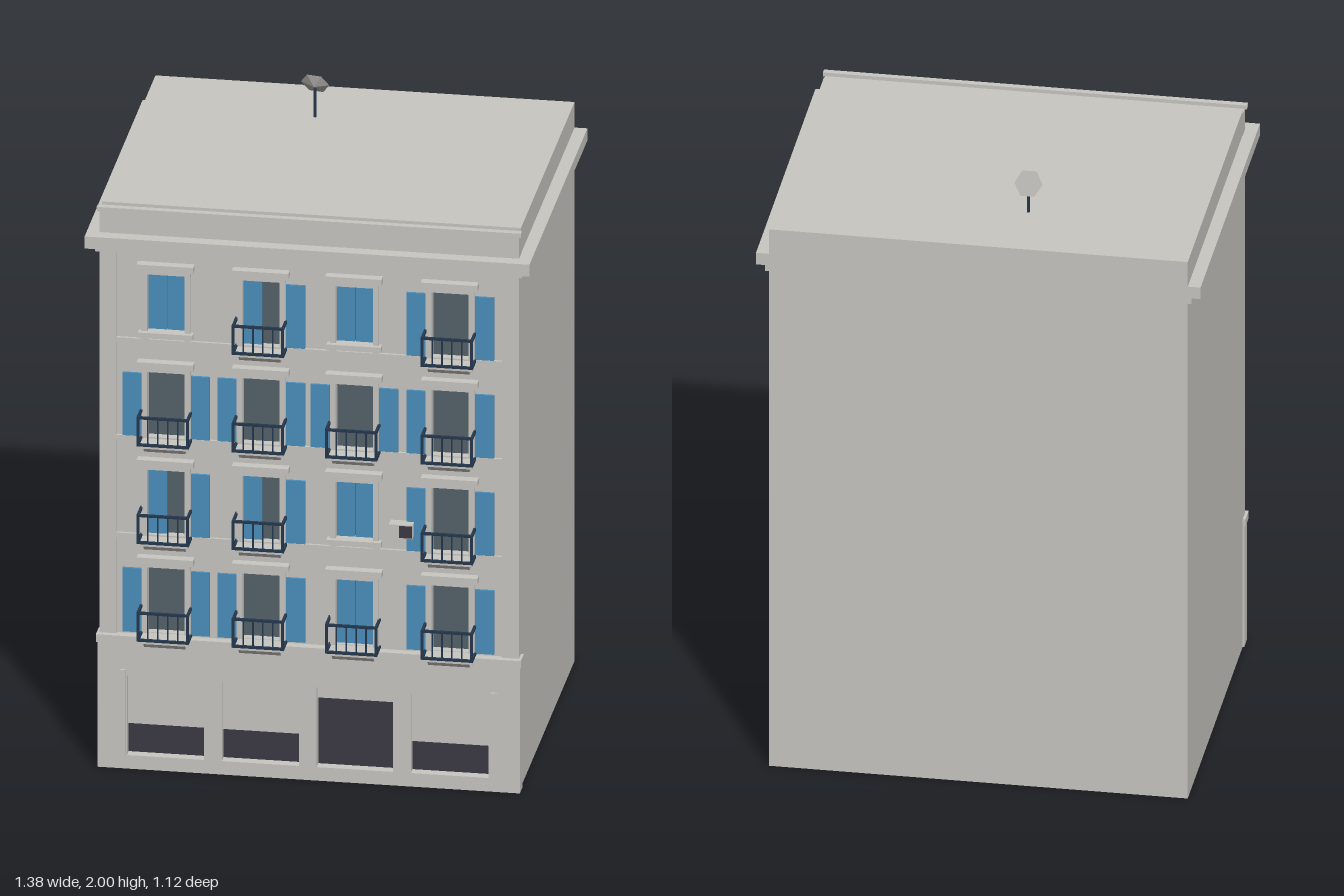
import * as THREE from 'three';

const mat = (name, color) => {
  const m = new THREE.MeshStandardMaterial({ color });
  m.name = name;
  return m;
};

export function createModel() {
  const stone = mat('stone', 0xc9c7c2);
  const blue = mat('shutterBlue', 0x4b8fbd);
  const iron = mat('ironNavy', 0x24384e);
  const glass = mat('glass', 0x55626a);
  const dark = mat('shopDark', 0x3b3943);
  const dishMat = mat('dishGrey', 0xb5b3af);
  dishMat.side = THREE.DoubleSide;

  const model = new THREE.Group();
  model.name = 'townBuilding';

  // box given by its extents
  const box = (parent, name, m, x0, x1, y0, y1, z0, z1) => {
    const mesh = new THREE.Mesh(new THREE.BoxGeometry(x1 - x0, y1 - y0, z1 - z0), m);
    mesh.position.set((x0 + x1) / 2, (y0 + y1) / 2, (z0 + z1) / 2);
    mesh.name = name;
    parent.add(mesh);
    return mesh;
  };
  // flat wall with rectangular openings [x0, x1, y0, y1]
  const wall = (name, x0, x1, y0, y1, z0, z1, holes) => {
    const rect = (T, a, b, c, d) => new T([[a, c], [b, c], [b, d], [a, d]].map(p => new THREE.Vector2(...p)));
    const shape = rect(THREE.Shape, x0, x1, y0, y1);
    shape.holes = holes.map(h => rect(THREE.Path, ...h));
    const mesh = new THREE.Mesh(new THREE.ExtrudeGeometry(shape, { depth: z1 - z0, bevelEnabled: false }), stone);
    mesh.position.z = z0;
    mesh.name = name;
    model.add(mesh);
  };

  const BACK = -0.56, FACE = 0.485;
  const columns = [-0.446, -0.15, 0.14, 0.438];
  const floors = [0.45, 0.775, 1.1, 1.425];
  const GW = 0.058, GH = 0.22; // half width and height of a window

  // Main volume and corner strips
  box(model, 'core', stone, -0.652, 0.652, 0, 1.86, BACK, 0.455);
  for (const s of [-1, 1]) {
    box(model, 'cornerStrip', stone, Math.min(s * 0.6, s * 0.652), Math.max(s * 0.6, s * 0.652), 0.42, 1.735, 0.455, 0.495);
  }
  const windowHoles = floors.flatMap(y => columns.map(x => [x - GW, x + GW, y, y + GH]));
  wall('upperWall', -0.6, 0.6, 0.42, 1.735, 0.455, FACE, windowHoles);

  // Cornice and parapet
  box(model, 'corniceBed', stone, -0.664, 0.664, 1.715, 1.735, BACK, 0.507);
  box(model, 'cornice', stone, -0.692, 0.692, 1.735, 1.775, BACK, 0.538);
  box(model, 'parapet', stone, -0.653, 0.653, 1.775, 1.85, 0.45, 0.496);
  box(model, 'parapetCap', stone, -0.66, 0.66, 1.848, 1.862, 0.485, 0.505);

  // Ground floor with four shop openings [x0, x1, bottom of roller shutter]
  const shops = [[-0.565, -0.325, 0.145], [-0.27, -0.03, 0.145], [0.025, 0.262, 0.27], [0.318, 0.56, 0.145]];
  wall('groundWall', -0.657, 0.657, 0, 0.42, 0.455, 0.507, shops.map(s => [s[0], s[1], 0.045, 0.31]));
  for (const [x0, x1, y] of shops) {
    box(model, 'shopFront', dark, x0, x1, 0.045, 0.31, 0.455, 0.475);
    box(model, 'rollerShutter', stone, x0, x1, y, 0.31, 0.475, 0.49);
  }
  for (const s of [-1, 1]) {
    box(model, 'shopPilaster', stone, s * 0.578 - 0.01, s * 0.578 + 0.01, 0.045, 0.33, 0.5, 0.513);
  }
  box(model, 'groundCornice', stone, -0.661, 0.661, 0.418, 0.443, 0.455, 0.513);

  // String courses under the upper floors
  for (const y of floors.slice(1)) box(model, 'stringCourse', stone, -0.6, 0.6, y - 0.012, y + 0.003, 0.48, 0.494);

  // Stone surround with lintel
  const surround = (g) => {
    for (const s of [-1, 1]) box(g, 'jamb', stone, s * 0.067 - 0.009, s * 0.067 + 0.009, 0, 0.235, 0.48, 0.496);
    box(g, 'head', stone, -0.076, 0.076, GH, 0.238, 0.48, 0.498);
    box(g, 'lintel', stone, -0.088, 0.088, 0.238, 0.258, 0.48, 0.515);
  };

  // Balcony: slab, sloping corbel and iron railing
  const corbelShape = new THREE.Shape([[0, 0], [0.03, 0], [0.05, 0.024], [0, 0.024]].map(p => new THREE.Vector2(...p)));
  const corbelGeo = new THREE.ExtrudeGeometry(corbelShape, { depth: 0.13, bevelEnabled: false });
  const balcony = (g) => {
    box(g, 'balconySlab', stone, -0.078, 0.078, -0.014, -0.002, 0.48, 0.55);
    const corbel = new THREE.Mesh(corbelGeo, stone);
    corbel.rotation.y = -Math.PI / 2;
    corbel.position.set(0.065, -0.038, 0.485);
    corbel.name = 'corbel';
    g.add(corbel);
    const W = 0.081, Z = 0.558, t = 0.004;
    for (const y of [0, 0.09]) {
      box(g, 'frontRail', iron, -W, W, y - t, y + t, Z - 2 * t, Z);
      for (const s of [-1, 1]) box(g, 'sideRail', iron, s * (W - t) - t, s * (W - t) + t, y - t, y + t, 0.485, Z);
    }
    for (let i = 0; i < 6; i++) {
      const r = i % 5 ? 0.0022 : t;
      const x = -(W - t) + (i / 5) * 2 * (W - t);
      box(g, 'baluster', iron, x - r, x + r, 0, 0.09, Z - t - r, Z - t + r);
    }
  };

  // o = both leaves open, h = right leaf open, c = closed; capital adds a balcony
  const states = ['OOCO', 'HHcO', 'OOOO', 'cHcO'];
  floors.forEach((y, r) => columns.forEach((x, c) => {
    const g = new THREE.Group();
    g.name = 'window';
    g.position.set(x, y, 0);
    model.add(g);
    const code = states[r][c], state = code.toLowerCase();
    surround(g);
    box(g, 'pane', glass, -GW, GW, 0, GH, 0.455, 0.46);
    for (const s of [-1, 1]) {
      const open = state === 'o' || (state === 'h' && s > 0);
      const [a, b, z] = open ? [0.077, 0.136, 0.484] : [0.001, GW, 0.463];
      const x0 = Math.min(s * a, s * b), x1 = Math.max(s * a, s * b);
      box(g, 'shutter', blue, x0, x1, 0, open ? 0.212 : 0.215, z, z + 0.009);
    }
    if (code !== state) balcony(g);
    else box(g, 'sill', stone, -0.085, 0.085, 0.012, 0.03, 0.455, 0.51);
  }));

  // Air conditioner on the facade
  box(model, 'airConditioner', stone, 0.252, 0.326, 0.83, 0.875, 0.48, 0.523);
  box(model, 'airConditionerGrille', dark, 0.284, 0.324, 0.833, 0.872, 0.523, 0.526);

  // Roof dish: shallow six-sided cone on a pole
  box(model, 'dishPole', iron, -0.119, -0.111, 1.86, 1.955, -0.319, -0.311);
  const dishGeo = new THREE.ConeGeometry(0.045, 0.015, 6, 1, false, Math.PI / 6).toNonIndexed();
  dishGeo.computeVertexNormals();
  const dish = new THREE.Mesh(dishGeo, dishMat);
  dish.rotation.set(Math.PI / 2 + 0.52, 0.0, 0.1);
  dish.position.set(-0.118, 1.962, -0.322);
  dish.name = 'dish';
  model.add(dish);

  return model;
}
